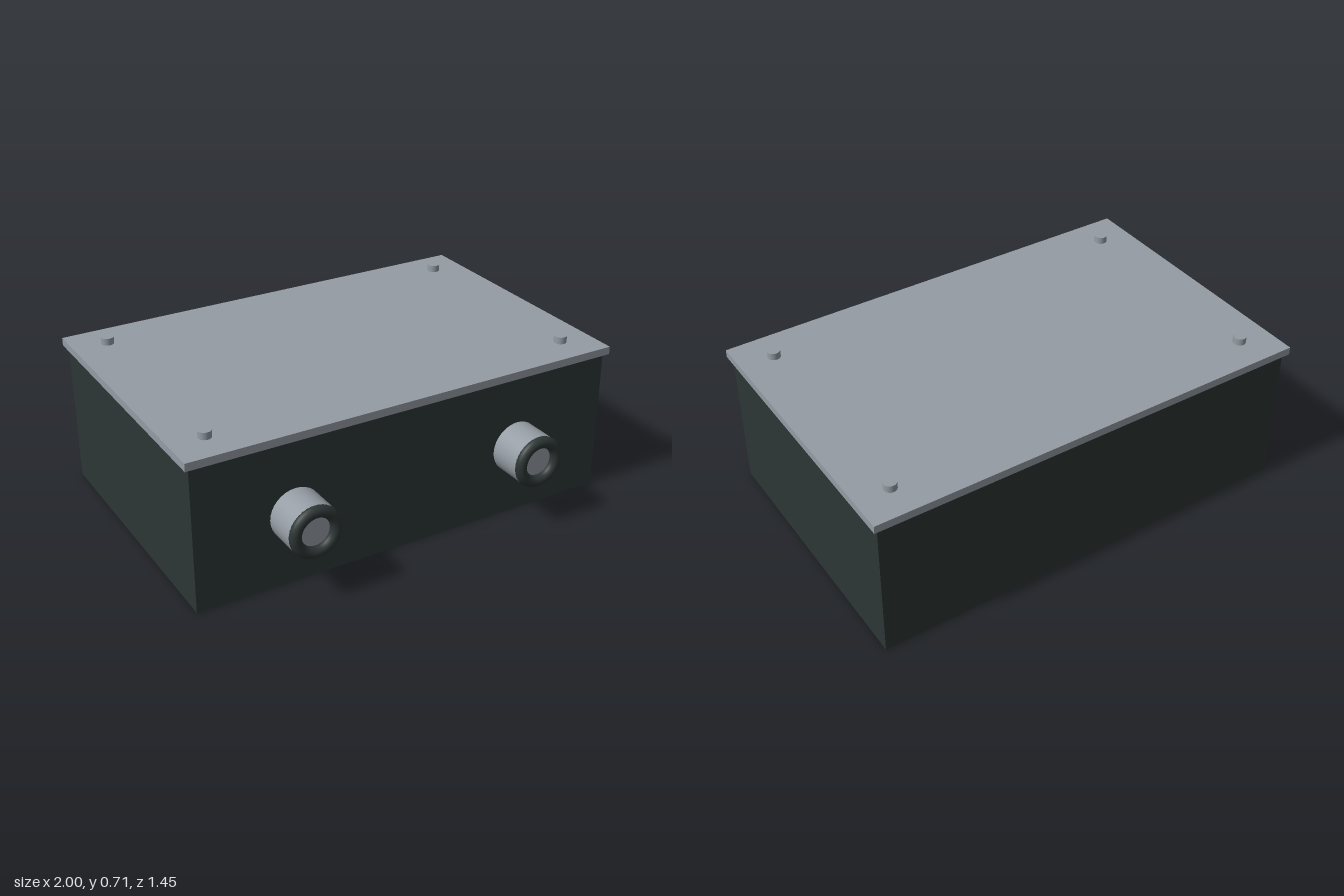
import * as THREE from 'three';

const metal = new THREE.MeshStandardMaterial({ color: 0x959ca4 });
metal.name = 'grey metal';
const dark = new THREE.MeshStandardMaterial({ color: 0x2d3635 });
dark.name = 'dark casing';

export function createModel() {
  const model = new THREE.Group();
  model.name = 'enclosure';

  const add = (name, geometry, material, x, y, z) => {
    const mesh = new THREE.Mesh(geometry, material);
    mesh.name = name;
    mesh.position.set(x, y, z);
    model.add(mesh);
    return mesh;
  };

  // Box and overhanging lid
  add('body', new THREE.BoxGeometry(1.96, 0.646, 1.246), dark, 0, 0.323, -0.082);
  add('lid', new THREE.BoxGeometry(2, 0.035, 1.283), metal, 0, 0.6635, -0.0825);

  // Lid screws, standing on the four corners
  const screw = new THREE.CylinderGeometry(0.028, 0.028, 0.032, 24);
  for (const x of [-0.848, 0.848]) {
    for (const z of [-0.574, 0.409]) add('screw', screw, metal, x, 0.696, z);
  }

  // Front connectors: a metal barrel with a dark ring round its end
  const barrel = new THREE.CylinderGeometry(0.115, 0.115, 0.17, 32).rotateX(Math.PI / 2);
  const ring = new THREE.TorusGeometry(0.09, 0.026, 16, 40);
  for (const x of [-0.535, 0.535]) {
    add('connectorBarrel', barrel, metal, x, 0.315, 0.607);
    add('connectorRing', ring, dark, x, 0.315, 0.697);
  }

  return model;
}
